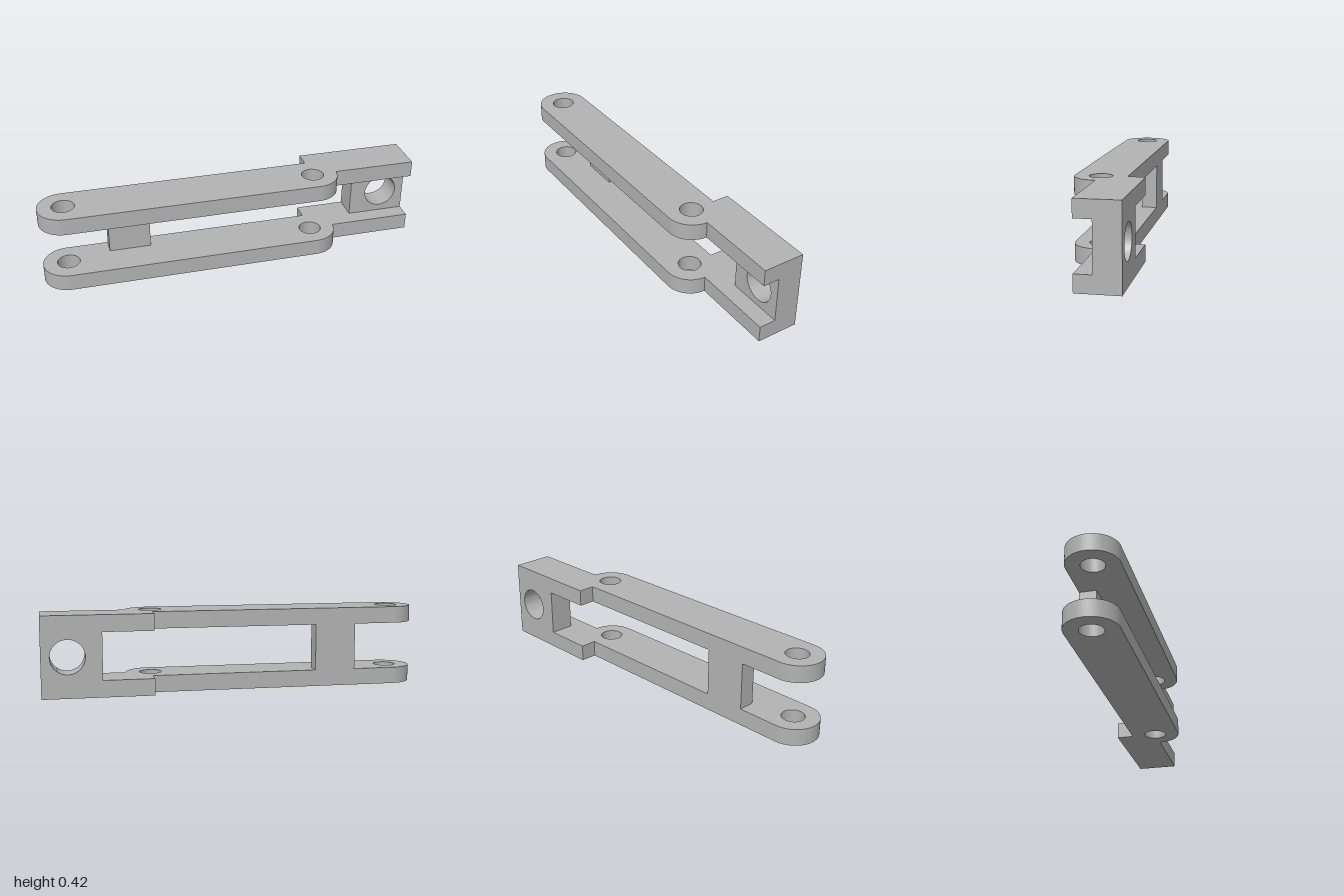
import * as THREE from 'three';
import { toCreasedNormals } from 'three/addons/utils/BufferGeometryUtils.js';

const HEIGHT = 0.418, PLATE = 0.087;      // overall height, side plate thickness
const PIN_A = -0.87, PIN_B = 0.434;       // pin hole positions along x
const PIN_Z = 0.0435, END_R = 0.1305;     // pin hole z, rounded end radius
const BACK = -0.174;                      // rear face of the offset block

function addHole(shape, x, y, radius) {
  shape.holes.push(new THREE.Path().absarc(x, y, radius, 0, Math.PI * 2, true));
}

function extrude(shape, depth) {
  const geometry = new THREE.ExtrudeGeometry(shape, { depth, bevelEnabled: false, curveSegments: 32 });
  return toCreasedNormals(geometry, 0.5);
}

// Plate outline drawn in x and -z: rounded arm with a square offset tail
function plateGeometry() {
  const s = new THREE.Shape();
  s.moveTo(PIN_A, END_R - PIN_Z);
  s.absarc(PIN_A, -PIN_Z, END_R, Math.PI / 2, Math.PI * 1.5, false);
  s.absarc(PIN_B, -PIN_Z, END_R, Math.PI * 1.5, Math.PI * 2, false);
  s.lineTo(1, -PIN_Z);
  s.lineTo(1, -BACK);
  s.lineTo(PIN_B, -BACK);
  s.lineTo(PIN_B, END_R - PIN_Z);
  s.closePath();
  for (const x of [PIN_A, PIN_B]) addHole(s, x, -PIN_Z, 0.058);
  return extrude(s, PLATE).rotateX(-Math.PI / 2);
}

// Upright web with a round cross hole
function webGeometry() {
  const s = new THREE.Shape();
  s.moveTo(0.695, PLATE);
  s.lineTo(1, PLATE);
  s.lineTo(1, HEIGHT - PLATE);
  s.lineTo(0.695, HEIGHT - PLATE);
  s.closePath();
  addHole(s, 0.868, HEIGHT / 2, 0.088);
  return extrude(s, 0.131).translate(0, 0, BACK);
}

export function createModel() {
  const group = new THREE.Group();
  group.name = 'clevisLink';
  const grey = new THREE.MeshStandardMaterial({ color: 0xb3b3b3 });
  grey.name = 'plain grey';

  const add = (name, geometry, y = 0) => {
    const mesh = new THREE.Mesh(geometry, grey);
    mesh.name = name;
    mesh.position.y = y;
    group.add(mesh);
  };

  // Matching side plates
  const plate = plateGeometry();
  add('lowerPlate', plate);
  add('upperPlate', plate, HEIGHT - PLATE);

  // Bridges joining the plates
  add('endWeb', webGeometry());
  const spacer = new THREE.BoxGeometry(0.217, HEIGHT - 2 * PLATE, 0.087);
  add('spacer', spacer.translate(-0.5435, HEIGHT / 2, -0.0435));

  return group;
}
